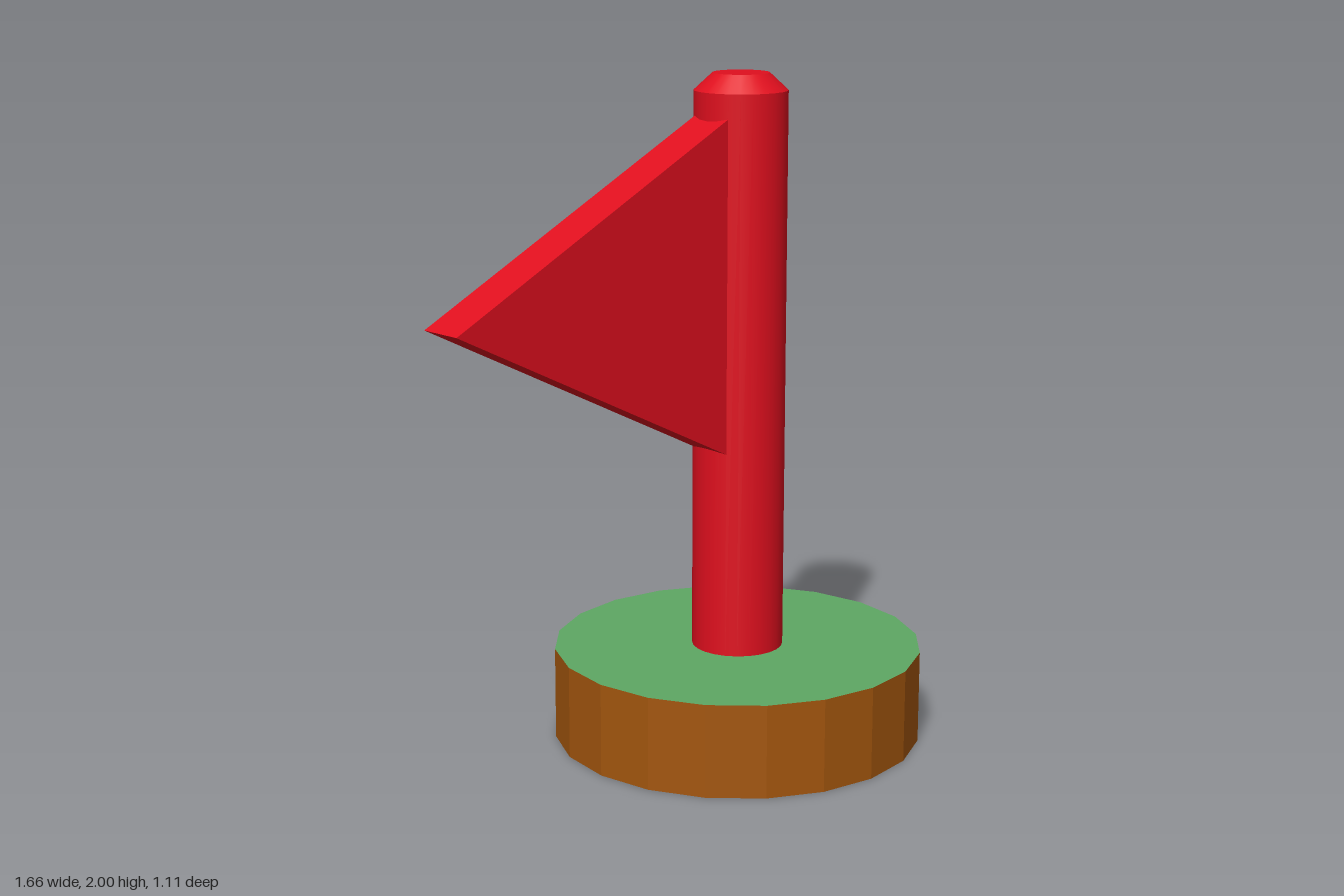
import * as THREE from 'three';

const POLE_X = 0.275;
const BASE_H = 0.28;

export function createModel() {
  const group = new THREE.Group();
  const red = new THREE.MeshStandardMaterial({ color: 0xe00f1e });
  const flatRed = new THREE.MeshStandardMaterial({ color: 0xe00f1e, flatShading: true });
  const brown = new THREE.MeshStandardMaterial({ color: 0xa3560e, flatShading: true });
  const green = new THREE.MeshStandardMaterial({ color: 0x5ea864, flatShading: true });

  const add = (name, geometry, material, x, y) => {
    const mesh = new THREE.Mesh(geometry, material);
    mesh.name = name;
    mesh.position.set(x, y, 0);
    group.add(mesh);
  };

  // Faceted earth disc with a grass top: side, top, bottom
  add('base', new THREE.CylinderGeometry(0.555, 0.555, BASE_H, 20),
    [brown, green, brown], POLE_X, BASE_H / 2);

  // Smooth round pole and its bevelled tip
  const poleH = 1.95 - BASE_H;
  add('pole', new THREE.CylinderGeometry(0.137, 0.137, poleH, 24, 1, true),
    red, POLE_X, BASE_H + poleH / 2);
  add('poleTip', new THREE.CylinderGeometry(0.083, 0.137, 0.05, 24),
    red, POLE_X, 1.975);

  // Thick triangular pennant, its edge meeting the pole
  const depth = 0.137;
  const pennant = new THREE.Shape([
    new THREE.Vector2(0.158, 0.9),
    new THREE.Vector2(0.158, 1.88),
    new THREE.Vector2(-0.83, 1.39),
  ]);
  const flag = new THREE.ExtrudeGeometry(pennant, { depth, bevelEnabled: false });
  flag.translate(0, 0, -depth / 2);
  add('flag', flag, flatRed, 0, 0);

  return group;
}
